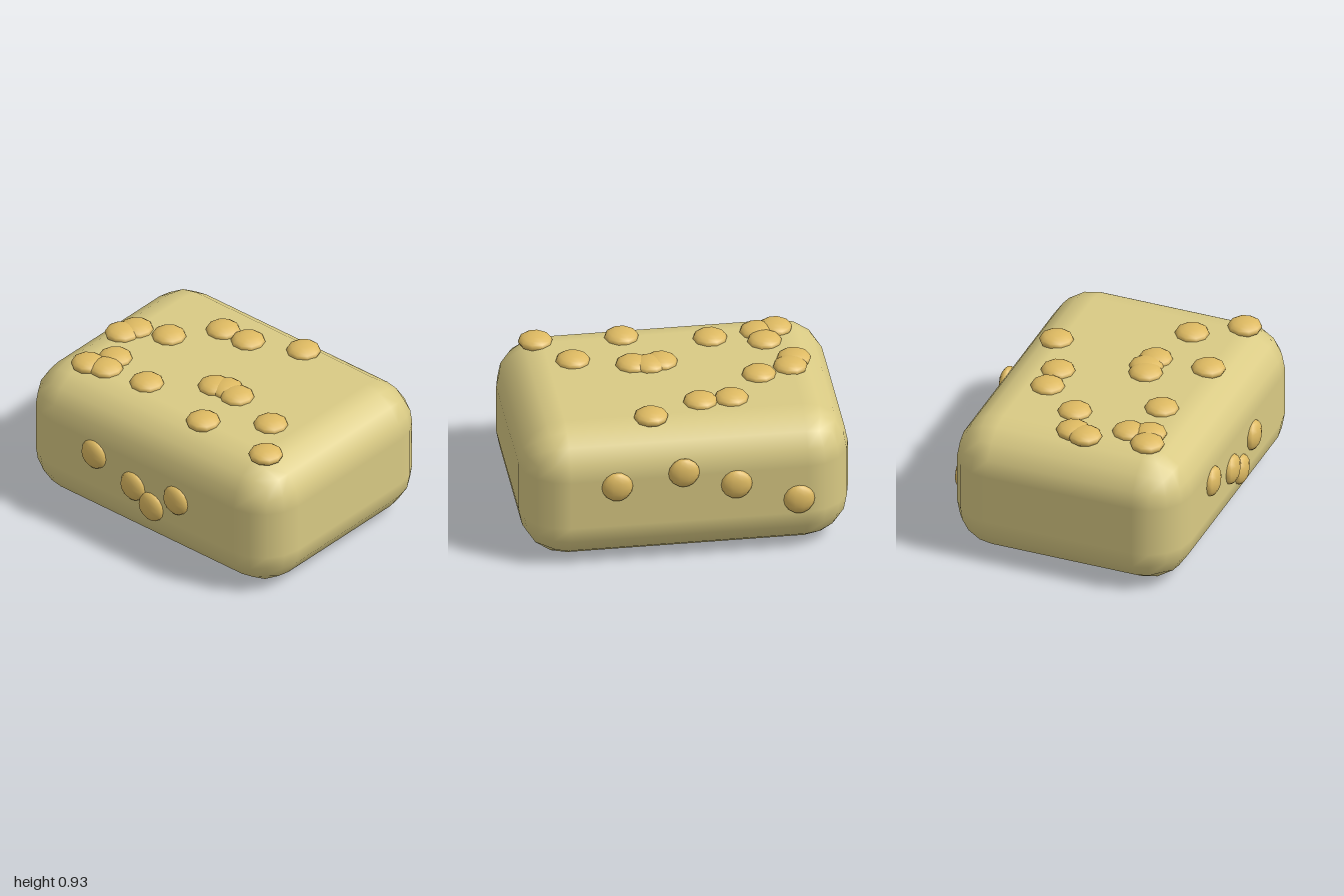
import * as THREE from 'three';

// Box with rounded edges; each edge is a quarter circle of four equal steps
function softBox(w, h, d, r) {
  const geo = new THREE.BoxGeometry(2, 2, 2, 5, 5, 5);
  const pos = geo.attributes.position, nor = geo.attributes.normal;
  const dir = new THREE.Vector3();
  const bend = (p) => Math.sign(p) * Math.tan(Math.max(0, (Math.abs(p) - 0.2) / 0.8) * Math.PI / 4);
  for (let i = 0; i < pos.count; i++) {
    const x = pos.getX(i), y = pos.getY(i), z = pos.getZ(i);
    dir.set(bend(x), bend(y), bend(z)).normalize();
    nor.setXYZ(i, dir.x, dir.y, dir.z);
    pos.setXYZ(i,
      Math.sign(x) * (w / 2 - r) + dir.x * r,
      Math.sign(y) * (h / 2 - r) + dir.y * r,
      Math.sign(z) * (d / 2 - r) + dir.z * r);
  }
  return geo;
}

export function createModel() {
  const model = new THREE.Group();
  const crust = new THREE.MeshStandardMaterial({ name: 'pale crust', color: 0xd9ca84 });
  const golden = new THREE.MeshStandardMaterial({ name: 'golden bump', color: 0xdeba62 });

  // Main block
  const body = new THREE.Mesh(softBox(2, 0.875, 1.5, 0.28), crust);
  body.name = 'body';
  body.position.y = 0.4375;
  model.add(body);

  // Flattened bumps, half sunk into the surface
  const topBump = new THREE.SphereGeometry(0.105, 10, 8).scale(1, 0.45, 1);
  const sideBump = new THREE.SphereGeometry(0.095, 10, 8).scale(1, 1, 0.48);
  const addBumps = (name, geo, spots) => {
    const group = new THREE.Group();
    group.name = name;
    spots.forEach(([x, y, z], i) => {
      const bump = new THREE.Mesh(geo, golden);
      bump.name = `${name}${i + 1}`;
      bump.position.set(x, y, z);
      group.add(bump);
    });
    model.add(group);
  };

  const topSpots = [
    [0.2, -0.5], [-0.31, -0.35], [-0.12, -0.36], [-0.515, -0.09],
    [-0.715, -0.02], [-0.75, 0.07], [0.05, 0.14], [0.12, 0.115],
    [0.22, 0.135], [0.57, 0.23], [-0.605, 0.3], [-0.69, 0.45],
    [-0.575, 0.42], [-0.285, 0.38], [0.24, 0.47], [0.76, 0.495],
  ];
  const frontSpots = [[-0.385, 0.505], [-0.075, 0.41], [0.07, 0.325], [0.265, 0.455]];
  const backSpots = [[0.44, 0.55], [0.035, 0.615], [-0.285, 0.51], [-0.665, 0.375]];

  addBumps('topBump', topBump, topSpots.map(([x, z]) => [x, 0.878, z]));
  addBumps('frontBump', sideBump, frontSpots.map(([x, y]) => [x, y, 0.75]));
  addBumps('backBump', sideBump, backSpots.map(([x, y]) => [x, y, -0.75]));

  return model;
}
